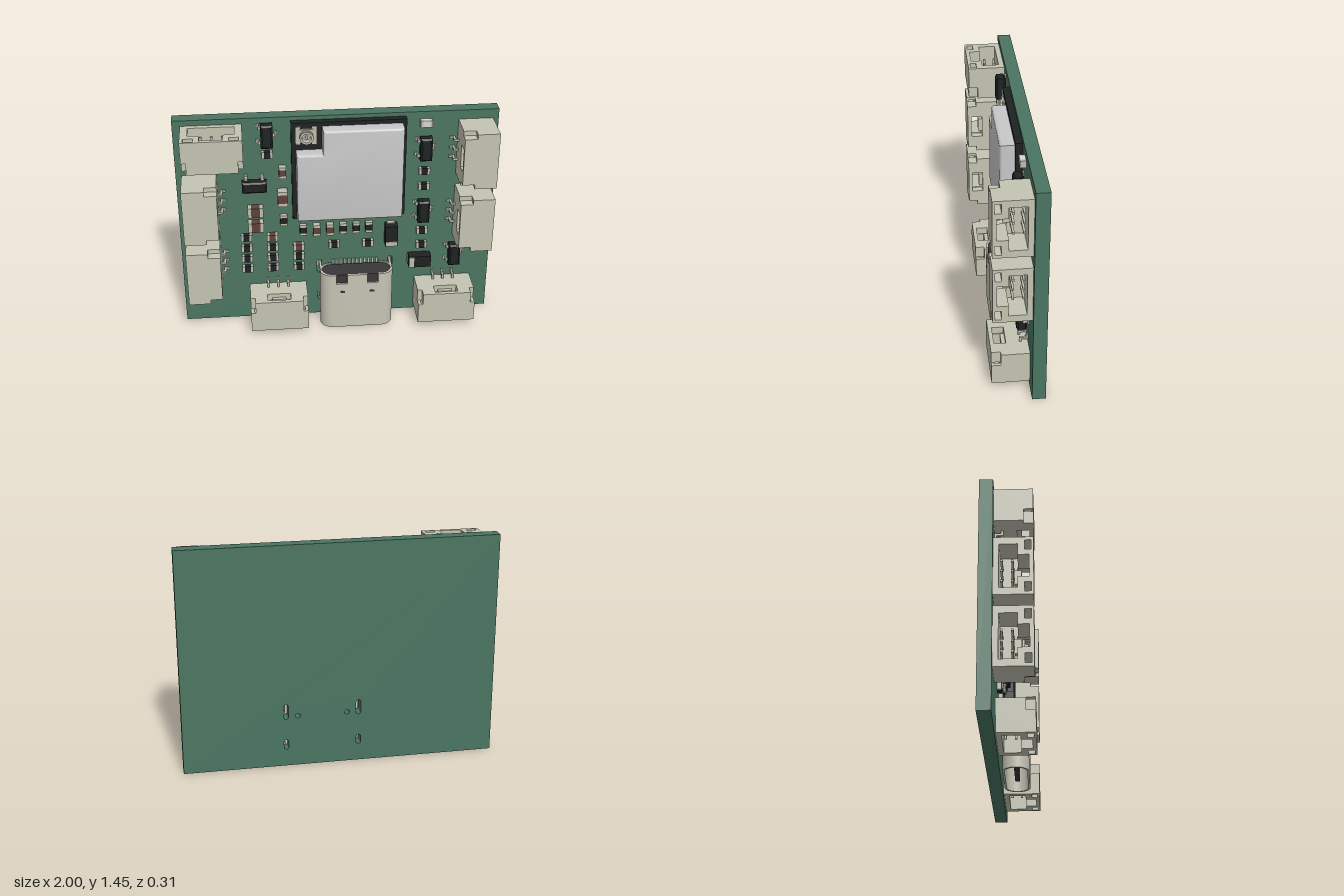
import * as THREE from 'three';
import { toCreasedNormals } from 'three/addons/utils/BufferGeometryUtils.js';

const mat = (name, color) => Object.assign(new THREE.MeshStandardMaterial({ color }), { name });
const M = {
  green: mat('board green', 0x4b7561),
  cream: mat('connector cream', 0xc4c4b3),
  metal: mat('lead metal', 0xbfbdb0),
  shell: mat('port shell', 0xc6c4b4),
  silver: mat('shield silver', 0xc8c8c8),
  black: mat('package black', 0x1f2222),
  dark: mat('insulator dark', 0x38383a),
  brown: mat('capacitor brown', 0x5e4238),
  white: mat('chip white', 0xd8d8d2),
};
const TOP = -0.073; // component side of the board

function add(parent, name, geo, material, x = 0, y = 0, z = 0) {
  const m = new THREE.Mesh(geo, material);
  m.name = name;
  m.position.set(x, y, z);
  parent.add(m);
  return m;
}
// Box given by its limits on each axis
function box(parent, name, material, x0, x1, y0, y1, z0, z1) {
  return add(parent, name, new THREE.BoxGeometry(x1 - x0, y1 - y0, z1 - z0), material,
    (x0 + x1) / 2, (y0 + y1) / 2, (z0 + z1) / 2);
}
const group = (parent, name, x = 0, y = 0, z = 0) => {
  const g = new THREE.Group();
  g.name = name;
  g.position.set(x, y, z);
  parent.add(g);
  return g;
};
const pts = a => a.map(p => new THREE.Vector2(...p));
const poly = (a, ...holes) => {
  const s = new THREE.Shape(pts(a));
  s.holes = holes.map(h => new THREE.Path(pts(h)));
  return s;
};
const rect = (x0, x1, y0, y1) => [[x0, y0], [x1, y0], [x1, y1], [x0, y1]];
const extrude = (shape, depth, o = {}) =>
  new THREE.ExtrudeGeometry(shape, { depth, bevelEnabled: false, curveSegments: 10, ...o });
// Vertical capsule (rotated: wide) outline with half length and radius
function capsule(Type, x, y, half, r, wide) {
  const p = new Type(), q = Math.PI / 2;
  const [dx, dy, a] = wide ? [half, 0, -q] : [0, half, 0];
  p.absarc(x + dx, y + dy, r, a, a + Math.PI);
  p.absarc(x - dx, y - dy, r, a + Math.PI, a + 2 * Math.PI);
  p.closePath();
  return p;
}

function buildBoard(root) {
  const s = poly(rect(-1, 1, 0, 1.45));
  for (const k of [-1, 1]) {
    s.holes.push(capsule(THREE.Path, 0.115 + k * 0.232, 0.37, 0.035, 0.015),
      capsule(THREE.Path, 0.115 + k * 0.232, 0.145, 0.018, 0.015),
      new THREE.Path().absarc(0.115 + k * 0.157, 0.34, 0.016, 0, Math.PI * 2));
  }
  add(root, 'board', extrude(s, 0.082), M.green, 0, 0, -0.155);
}

// Three-pin wire socket; its opening faces local +y
function buildSocket(root, x, y, turn) {
  const g = group(root, 'wireSocket', x, y, 0);
  g.rotation.z = turn;
  const w = 0.185, h = 0.157;
  const cavity = [[-0.14, -0.04], [0.14, -0.04], [0.14, 0.065], [0.07, 0.065],
    [0.07, 0.132], [-0.07, 0.132], [-0.07, 0.065], [-0.14, 0.065]];
  const stepped = [[-w, TOP], [w, TOP], [w, 0.1], [w - 0.03, 0.1], [w - 0.03, h],
    [0.03 - w, h], [0.03 - w, 0.1], [-w, 0.1]];
  const slice = (name, shape, from, depth) =>
    add(g, name, extrude(shape, depth).rotateX(Math.PI / 2), M.cream, 0, from, 0);
  slice('socketMouth', poly(rect(-w, w, TOP, h), cavity,
    rect(-0.165, -0.105, 0.105, 0.143), rect(0.105, 0.165, 0.105, 0.143)), 0.107, 0.137);
  slice('socketMiddle', poly(stepped, cavity), -0.03, 0.03);
  slice('socketBack', poly(stepped, rect(-0.075, 0.075, 0.06, 0.132)), -0.06, 0.047);
  box(g, 'latchTab', M.cream, -0.045, 0.045, -0.08, -0.03, 0.045, 0.085);
  for (let i = -1; i <= 1; i++) {
    const u = i * 0.065, a = u - 0.007, b = u + 0.007;
    box(g, 'upperContact', M.metal, a, b, -0.08, 0.05, 0.028, 0.042);
    box(g, 'lowerContact', M.metal, a, b, -0.08, 0.05, -0.034, -0.02);
    box(g, 'leadArm', M.metal, a, b, -0.128, -0.1, -0.034, -0.02);
    box(g, 'leadDrop', M.metal, a, b, -0.138, -0.124, TOP, -0.02);
    box(g, 'leadFoot', M.metal, a, b, -0.158, -0.124, TOP, TOP + 0.012);
  }
}

// Two-ended chip part; tall ones stand along y
function buildChip(root, x, y, len, wid, height, material, tall) {
  const g = group(root, 'chipPart', x, y, TOP);
  if (tall) g.rotation.z = Math.PI / 2;
  const l = len / 2, e = len * 0.22, w = wid / 2;
  box(g, 'chipBody', material, e - l, l - e, -w, w, 0, height);
  for (const k of [-1, 1])
    box(g, 'chipEnd', M.metal, Math.min(k * l, k * (l - e)), Math.max(k * l, k * (l - e)), -w, w, 0, height);
}

// Small black package with leads at the given offsets on its two long sides
function buildPackage(root, x, y, turn, upper, lower) {
  const g = group(root, 'blackPackage', x, y, 0);
  g.rotation.z = turn;
  add(g, 'packageBody', extrude(poly(rect(-0.066, 0.066, -0.026, 0.026)), 0.042,
    { bevelEnabled: true, bevelSize: 0.011, bevelThickness: 0.011, bevelSegments: 1 }), M.black, 0, 0, TOP + 0.02);
  [[1, upper], [-1, lower]].forEach(([k, list]) => list.forEach(u => {
    const side = (p, q, z0, z1) => box(g, 'packageLead', M.metal, u - 0.011, u + 0.011,
      Math.min(k * p, k * q), Math.max(k * p, k * q), z0, z1);
    side(0.03, 0.052, -0.045, -0.035);
    side(0.044, 0.053, TOP, -0.035);
    side(0.044, 0.066, TOP, TOP + 0.01);
  }));
}

function buildDiode(root, x, y, turn) {
  const g = group(root, 'diode', x, y, 0);
  g.rotation.z = turn;
  box(g, 'diodeBody', M.black, -0.072, 0.072, -0.04, 0.04, TOP + 0.005, -0.002);
  box(g, 'diodeBand', M.metal, -0.07, -0.038, -0.036, 0.036, -0.004, 0.003);
  for (const k of [-1, 1]) box(g, 'diodeLead', M.metal, k * 0.07 - 0.008, k * 0.07 + 0.008, -0.025, 0.025, TOP, -0.045);
}

function buildRadioModule(root) {
  const g = group(root, 'radioModule');
  box(g, 'moduleBase', M.black, -0.285, 0.425, 0.757, 1.425, TOP, -0.03);
  const b = 0.014;
  const can = poly([[-0.257 + b, 0.785 + b], [0.4 - b, 0.785 + b], [0.4 - b, 1.4 - b],
    [-0.095 + b, 1.4 - b], [-0.095 + b, 1.245 - b], [-0.257 + b, 1.245 - b]]);
  const canGeo = extrude(can, 0.074, { bevelEnabled: true, bevelSize: b, bevelThickness: b, bevelSegments: 3 });
  add(g, 'shieldCan', toCreasedNormals(canGeo, 0.6), M.silver, 0, 0, -0.03);
  // Round antenna jack on a square foot
  const jack = group(g, 'antennaJack', -0.192, 1.342, -0.03);
  box(jack, 'jackFoot', M.metal, -0.045, 0.045, -0.045, 0.045, 0, 0.014);
  for (const k of [-1, 1]) box(jack, 'jackPad', M.metal, k * 0.05 - 0.015, k * 0.05 + 0.015, -0.06, 0.06, 0, 0.008);
  const ring = pts([[0.024, 0.014], [0.042, 0.014], [0.042, 0.024], [0.036, 0.03], [0.042, 0.036],
    [0.042, 0.046], [0.028, 0.046], [0.024, 0.014]]);
  add(jack, 'jackRing', toCreasedNormals(new THREE.LatheGeometry(ring, 24).rotateX(Math.PI / 2), 0.5), M.metal);
  add(jack, 'jackPin', new THREE.CylinderGeometry(0.009, 0.009, 0.026, 12).rotateX(Math.PI / 2), M.metal, 0, 0, 0.025);
}

// Oval port, opening toward -y
function buildPort(root) {
  const g = group(root, 'port', 0.115, 0, 0.023);
  const half = 0.155, R = 0.081, r = 0.068;
  const up = (shape, d) => toCreasedNormals(extrude(shape, d).rotateX(-Math.PI / 2), 0.5);
  const shell = capsule(THREE.Shape, 0, 0, half, R, true);
  shell.holes.push(capsule(THREE.Path, 0, 0, half, r, true));
  add(g, 'portShell', up(shell, 0.335), M.shell);
  add(g, 'portInsulator', up(capsule(THREE.Shape, 0, 0, half, r - 0.001, true), 0.16), M.dark, 0, 0.235, 0);
  box(g, 'portTongue', M.dark, -0.15, 0.15, 0.04, 0.24, -0.014, 0.014);
  // Shell ends that reach past the notches
  const cap = new THREE.Shape();
  cap.absarc(-half, 0, R, Math.PI / 2, Math.PI * 1.5);
  cap.absarc(-half, 0, r, Math.PI * 1.5, Math.PI / 2, true);
  for (const k of [0, 1]) {
    const m = add(g, 'shellEnd', up(cap, 0.065), M.shell, 0, 0.335, 0);
    m.rotation.y = k * Math.PI;
  }
  box(g, 'shellTab', M.shell, -0.065, 0.065, 0.335, 0.4, r, R);
  for (const k of [-1, 1]) {
    box(g, 'shellShoulder', M.shell, k * 0.146 - 0.011, k * 0.146 + 0.011, 0.335, 0.4, r, R);
    box(g, 'springDimple', M.dark, k * 0.095 - 0.016, k * 0.095 + 0.016, 0.266, 0.28, R - 0.004, R + 0.001);
    for (const [y, l] of [[0.37, 0.032], [0.145, 0.018]])
      box(g, 'shellLeg', M.shell, k * 0.227 - 0.007, k * 0.227 + 0.007, y - l, y + l, -0.13, 0);
  }
  for (let i = 0; i < 12; i++) {
    const x = (i - 5.5) * 0.026;
    box(g, 'portLead', M.metal, x - 0.007, x + 0.007, 0.38, 0.42, -0.096, -0.086);
  }
}

export function createModel() {
  const root = new THREE.Group();
  root.name = 'circuitBoard';
  const q = Math.PI / 2;
  buildBoard(root);
  buildRadioModule(root);
  buildPort(root);
  [[-0.765, 1.307, 0], [-0.857, 0.895, q], [-0.857, 0.455, q], [0.857, 1.205, -q], [0.857, 0.755, -q],
    [-0.39, 0.148, 2 * q], [0.695, 0.148, 2 * q]].forEach(s => buildSocket(root, ...s));

  // Small resistors lying along x
  [[-0.583, 0.62], [-0.583, 0.54], [-0.583, 0.463], [-0.583, 0.385], [-0.417, 0.54], [-0.417, 0.463],
    [-0.417, 0.385], [-0.25, 0.463], [-0.25, 0.385], [-0.021, 0.54], [0.198, 0.54], [0.548, 1.048],
    [0.548, 0.94], [0.548, 0.615], [0.548, 0.508], [-0.433, 1.208]]
    .forEach(([x, y]) => buildChip(root, x, y, 0.07, 0.045, 0.028, M.black));
  // Small resistors standing along y
  [[-0.219, 0.66], [0.037, 0.66], [0.123, 0.66], [0.203, 0.66], [-0.342, 0.738]]
    .forEach(([x, y]) => buildChip(root, x, y, 0.075, 0.045, 0.028, M.black, true));
  // Capacitors
  [[-0.417, 0.62], [-0.25, 0.54]].forEach(([x, y]) => buildChip(root, x, y, 0.07, 0.045, 0.04, M.brown));
  [[-0.134, 0.66], [-0.048, 0.66], [-0.342, 1.085]].forEach(([x, y]) => buildChip(root, x, y, 0.078, 0.045, 0.04, M.brown, true));
  [[-0.519, 0.818], [-0.519, 0.71]].forEach(([x, y]) => buildChip(root, x, y, 0.098, 0.066, 0.055, M.brown));
  buildChip(root, -0.346, 0.908, 0.105, 0.062, 0.055, M.brown, true);
  buildChip(root, 0.548, 1.38, 0.075, 0.045, 0.035, M.white);

  // Black packages and diodes
  [[-0.433, 1.348], [0.548, 1.217], [0.548, 0.775], [0.762, 0.443]]
    .forEach(([x, y]) => buildPackage(root, x, y, q, [-0.05, 0.05], [0]));
  buildPackage(root, -0.519, 1.005, 0, [-0.05, 0.05], [-0.05, 0, 0.05]);
  buildDiode(root, 0.345, 0.61, q);
  buildDiode(root, 0.535, 0.407, 0);
  return root;
}
